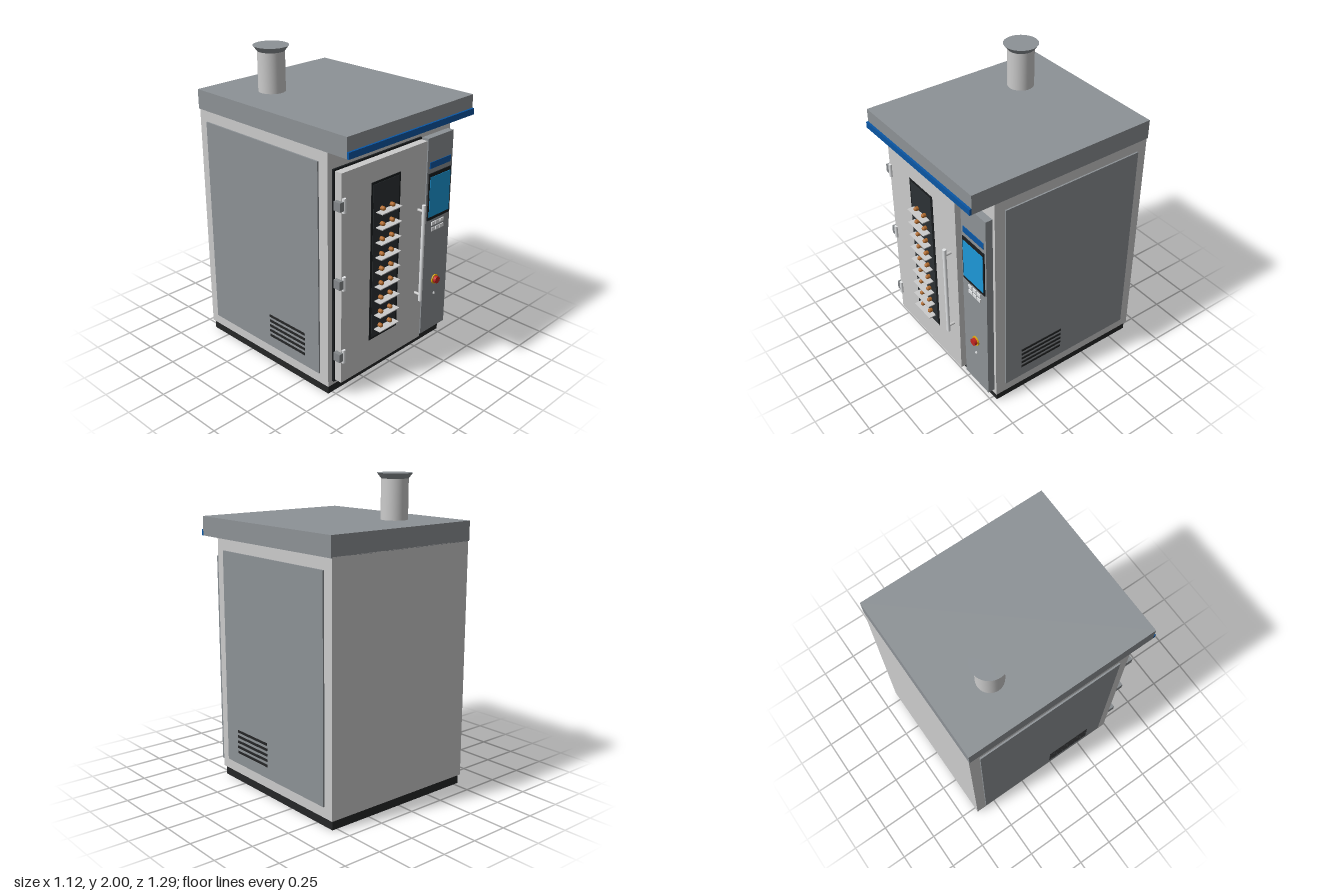
import * as THREE from 'three';

const mat = (color) => new THREE.MeshStandardMaterial({ color });

export function createModel() {
  const model = new THREE.Group();
  const steel = mat(0xcccccc), grey = mat(0x8d9296), black = mat(0x252627), gasket = mat(0x1a1d1f);
  const blue = mat(0x0b57a4), screenBlue = mat(0x1c98d8), glass = mat(0x2c3134), bright = mat(0xe4e6e8);
  const bread = mat(0xb06a2c), yellow = mat(0xe0a810), red = mat(0xc42420), hingeGrey = mat(0x85898c);

  const add = (name, geometry, material, x, y, z, parent = model) => {
    const mesh = new THREE.Mesh(geometry, material);
    mesh.name = name;
    mesh.position.set(x, y, z);
    parent.add(mesh);
    return mesh;
  };
  // box given by its min and max along each axis
  const box = (name, material, [x0, x1], [y0, y1], [z0, z1], parent) =>
    add(name, new THREE.BoxGeometry(x1 - x0, y1 - y0, z1 - z0), material,
      (x0 + x1) / 2, (y0 + y1) / 2, (z0 + z1) / 2, parent);
  // round part with its axis along z
  const knob = (name, material, r, x, y, z0, z1, parent) => {
    const mesh = add(name, new THREE.CylinderGeometry(r, r, z1 - z0, 24), material, x, y, (z0 + z1) / 2, parent);
    mesh.rotation.x = Math.PI / 2;
    return mesh;
  };
  const group = (name) => {
    const g = new THREE.Group();
    g.name = name;
    model.add(g);
    return g;
  };

  // cabinet
  box('plinth', black, [-0.533, 0.533], [0, 0.065], [-0.637, 0.467]);
  box('cabinet', steel, [-0.544, 0.544], [0.06, 1.595], [-0.647, 0.478]);
  box('canopy', grey, [-0.553, 0.553], [1.59, 1.715], [-0.647, 0.633]);
  box('canopyTrim', blue, [-0.553, 0.553], [1.59, 1.63], [0.633, 0.647]);

  // side panels with vent slots
  for (const s of [-1, 1]) {
    const side = group(s > 0 ? 'leftSide' : 'rightSide');
    const span = (a, b) => (s > 0 ? [a, b] : [-b, -a]);
    box('sidePanel', grey, span(0.54, 0.554), [0.13, 1.517], [-0.578, 0.408], side);
    for (let i = 0; i < 5; i++) {
      const y = 0.214 + i * 0.0355;
      box('ventSlot', black, span(0.55, 0.558), [y - 0.008, y + 0.008], [-0.032, 0.286], side);
    }
  }

  // chimney
  const chimney = group('chimney');
  add('chimneyPipe', new THREE.CylinderGeometry(0.085, 0.085, 0.27, 40), steel, -0.249, 1.84, -0.298, chimney);
  add('chimneyFlare', new THREE.CylinderGeometry(0.111, 0.08, 0.04, 40), grey, -0.249, 1.98, -0.298, chimney);

  // door with gasket and window
  const door = group('door');
  box('doorGasket', gasket, [-0.51, 0.253], [0.088, 1.48], [0.476, 0.492], door);
  box('doorLeaf', steel, [-0.499, 0.243], [0.1, 1.469], [0.49, 0.543], door);
  box('windowFrame', gasket, [-0.255, 0], [0.292, 1.342], [0.54, 0.546], door);
  box('windowGlass', glass, [-0.239, -0.016], [0.308, 1.326], [0.545, 0.549], door);

  // trays with rolls
  const trays = group('trays');
  for (let i = 0; i < 9; i++) {
    const y = 0.357 + i * 0.0988;
    box('tray', steel, [-0.216, -0.038], [y - 0.003, y + 0.003], [0.547, 0.6], trays);
    for (const x of [-0.17, -0.085]) {
      const roll = add('roll', new THREE.CapsuleGeometry(0.014, 0.012, 6, 14), bread, x, y + 0.016, 0.559, trays);
      roll.rotation.x = Math.PI / 2;
    }
  }

  // handle
  const handle = group('doorHandle');
  add('handleBar', new THREE.CylinderGeometry(0.012, 0.012, 0.668, 20), bright, 0.179, 0.748, 0.588, handle);
  for (const y of [0.456, 1.038]) knob('handlePost', steel, 0.009, 0.179, y, 0.54, 0.588, handle);

  // hinges
  for (const y of [0.287, 0.78, 1.273]) {
    const hinge = group('hinge');
    box('hingeBlock', hingeGrey, [-0.525, -0.485], [y - 0.028, y + 0.028], [0.505, 0.555], hinge);
    add('hingePin', new THREE.CylinderGeometry(0.012, 0.012, 0.09, 16), bright, -0.484, y, 0.548, hinge);
  }

  // control panel
  const panel = group('controlPanel');
  box('panelBoard', grey, [0.276, 0.523], [0.095, 1.47], [0.476, 0.525], panel);
  box('panelStripe', blue, [0.298, 0.502], [1.268, 1.31], [0.524, 0.53], panel);
  box('screenBezel', gasket, [0.291, 0.509], [0.918, 1.236], [0.524, 0.532], panel);
  box('screen', screenBlue, [0.3, 0.5], [0.94, 1.212], [0.53, 0.535], panel);
  for (const y of [0.842, 0.882])
    for (const x of [0.357, 0.4, 0.443])
      box('button', bright, [x - 0.018, x + 0.018], [y - 0.012, y + 0.012], [0.524, 0.531], panel);
  knob('stopButtonCollar', yellow, 0.033, 0.4, 0.464, 0.524, 0.533, panel);
  knob('stopButton', red, 0.024, 0.4, 0.464, 0.532, 0.553, panel);
  knob('indicatorLamp', bright, 0.009, 0.4, 0.358, 0.524, 0.531, panel);

  return model;
}
